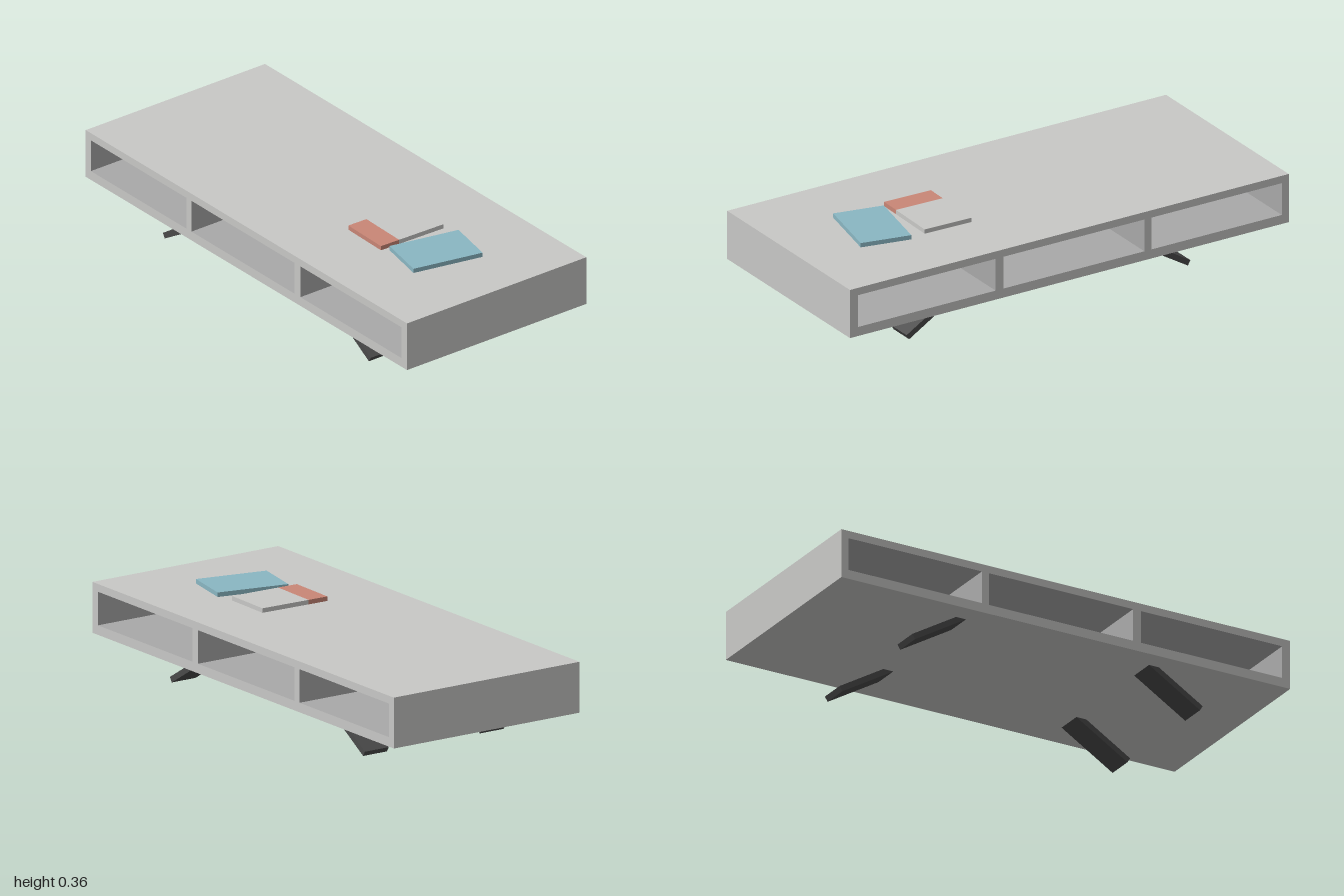
import * as THREE from 'three';

const material = (name, color) => {
  const m = new THREE.MeshStandardMaterial({ color });
  m.name = name;
  return m;
};

export function createModel() {
  const shell = material('light grey shell', 0xc8c8c6);
  const inner = material('grey interior', 0xa9a9a9);
  const dark = material('dark grey legs', 0x4a4a4a);
  const coral = material('coral cover', 0xc98676);
  const blue = material('blue cover', 0x8ab7c3);

  const group = new THREE.Group();
  group.name = 'lowTable';

  // Box given by its limits on each axis
  const box = (name, mat, [x0, x1], [y0, y1], [z0, z1], parent) => {
    const mesh = new THREE.Mesh(new THREE.BoxGeometry(x1 - x0, y1 - y0, z1 - z0), mat);
    mesh.position.set((x0 + x1) / 2, (y0 + y1) / 2, (z0 + z1) / 2);
    mesh.name = name;
    parent.add(mesh);
    return mesh;
  };

  // Case open at front and back; faces that look inward use the interior grey
  const body = new THREE.Group();
  body.name = 'case';
  group.add(body);
  const depth = [-0.437, 0.437];
  const floorY = 0.176, ceilingY = 0.31;
  box('topBoard', [shell, shell, shell, inner, shell, shell], [-1, 1], [ceilingY, 0.341], depth, body);
  box('bottomBoard', [shell, shell, inner, shell, shell, shell], [-1, 1], [0.138, floorY], depth, body);
  const uprights = [[-1, -0.968], [-0.374, -0.342], [0.3, 0.336], [0.964, 1]];
  uprights.forEach((span, i) => {
    const right = i === 3 ? shell : inner;
    const left = i === 0 ? shell : inner;
    box(i % 3 ? 'divider' : 'endPanel', [right, left, shell, shell, shell, shell], span, [floorY, ceilingY], depth, body);
  });

  // Splayed flat legs, their upper ends set into the bottom board
  const angle = 0.545, length = 0.275;
  for (const [side, footX] of [[-1, -0.626], [1, 0.656]]) {
    for (const z of [0.293, -0.256]) {
      const leg = new THREE.Mesh(new THREE.BoxGeometry(length, 0.023, 0.112), dark);
      leg.position.set(
        footX - side * Math.cos(angle) * length / 2,
        0.01 + Math.sin(angle) * length / 2,
        z
      );
      leg.rotation.z = -side * angle;
      leg.name = 'leg';
      group.add(leg);
    }
  }

  // Two thin books lying on the top
  const book = (name, x, z, turn) => {
    const g = new THREE.Group();
    g.name = name;
    g.position.set(x, 0.341, z);
    g.rotation.y = turn;
    group.add(g);
    return g;
  };
  const thick = [0, 0.018];
  const twoTone = book('twoToneBook', 0.368, -0.004, -0.024);
  box('greyCover', shell, [-0.105, 0.105], thick, [-0.15, 0.063], twoTone);
  box('coralBand', coral, [-0.105, 0.105], thick, [0.063, 0.15], twoTone);
  const blueBook = book('blueBook', 0.62, -0.002, -0.204);
  box('blueCover', blue, [-0.104, 0.104], thick, [-0.148, 0.148], blueBook);

  return group;
}
